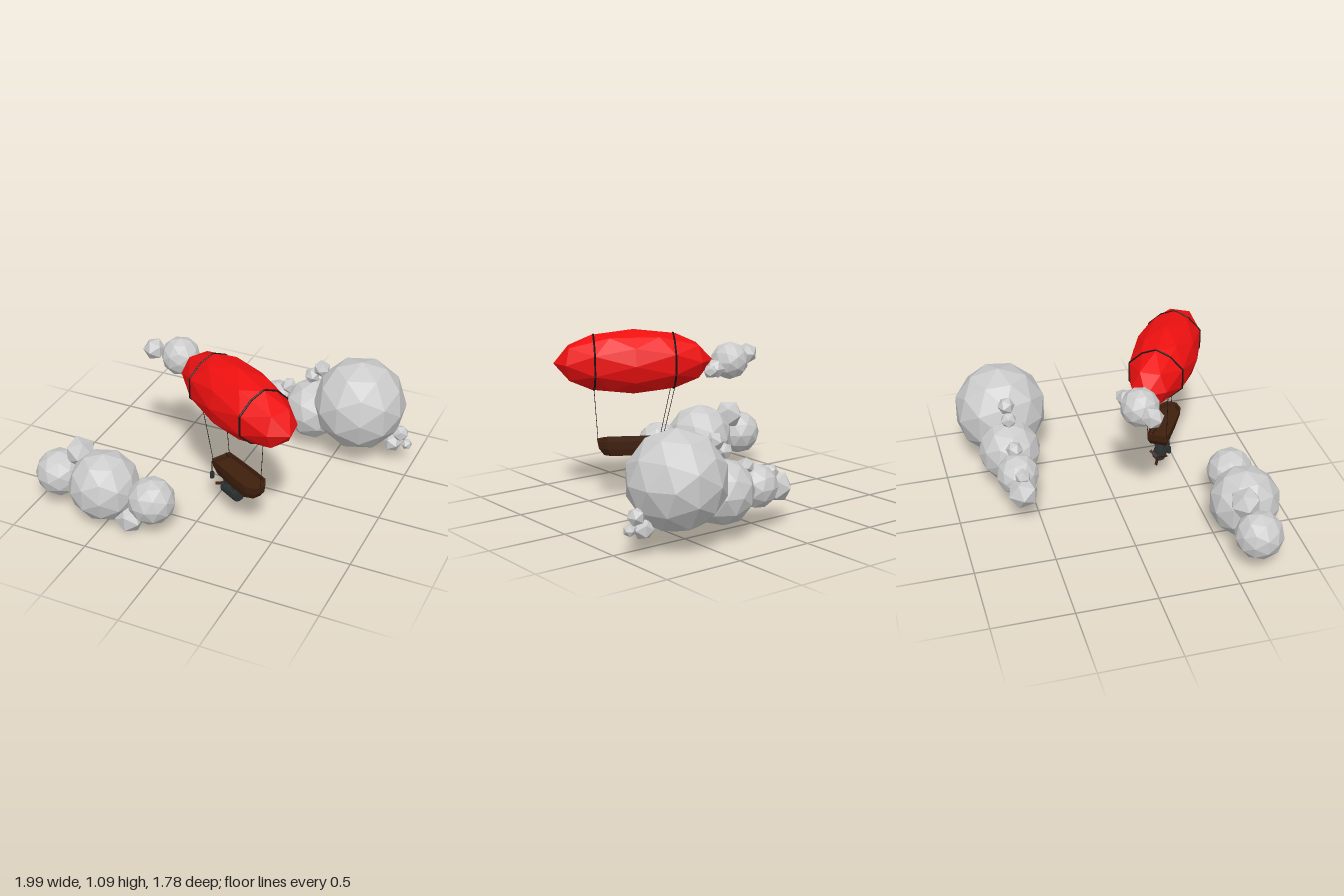
import * as THREE from 'three';

const material = (color, double) => new THREE.MeshStandardMaterial({
  color, flatShading: true, side: double ? THREE.DoubleSide : THREE.FrontSide });
const grey = material(0xcccccc);
const red = material(0xee1010);
const black = material(0x1a1412);
const iron = material(0x2b3030);
const wood = material(0x40200e, true);

function add(parent, name, geometry, mat, x = 0, y = 0, z = 0) {
  const mesh = new THREE.Mesh(geometry, mat);
  mesh.name = name;
  mesh.position.set(x, y, z);
  parent.add(mesh);
  return mesh;
}

// A straight round bar between two points
function bar(parent, name, a, b, radius, mat, sides = 5) {
  const dir = b.clone().sub(a);
  const mesh = add(parent, name, new THREE.CylinderGeometry(radius, radius, dir.length(), sides), mat);
  mesh.position.copy(a).add(b).multiplyScalar(0.5);
  mesh.quaternion.setFromUnitVectors(new THREE.Vector3(0, 1, 0), dir.normalize());
  return mesh;
}
const V = (x, y, z) => new THREE.Vector3(x, y, z);

// Each cloud is a cluster of faceted balls: x, y, z, radius
const clouds = {
  largeCloud: [
    [0.635, 0.41, -0.605, 0.3], [0.32, 0.29, -0.61, 0.2], [0.06, 0.28, -0.61, 0.135],
    [-0.1, 0.25, -0.61, 0.1], [-0.06, 0.34, -0.6, 0.053], [0.14, 0.41, -0.61, 0.055],
    [0.3, 0.53, -0.61, 0.052], [0.365, 0.595, -0.61, 0.056], [0.87, 0.17, -0.61, 0.063],
    [0.92, 0.25, -0.61, 0.055], [0.965, 0.18, -0.61, 0.037]],
  lowCloud: [
    [-0.53, 0.25, 0.68, 0.222], [-0.855, 0.24, 0.66, 0.15], [-0.2, 0.245, 0.7, 0.148],
    [-0.73, 0.39, 0.61, 0.1], [-0.335, 0.092, 0.73, 0.092]],
  highCloud: [
    [-0.3, 0.89, 0.075, 0.12], [-0.465, 0.915, 0.105, 0.07],
    [-0.15, 0.86, 0.035, 0.062], [-0.1, 0.85, 0.02, 0.045]],
};

// Envelope: stretched faceted ball with bands following its faces
function addEnvelope(ship) {
  const geo = new THREE.IcosahedronGeometry(1, 1).scale(0.5, 0.205, 0.205).translate(0, 0.897, 0);
  add(ship, 'envelope', geo, red);
  const pos = geo.attributes.position;
  for (const cut of [-0.25, 0.25]) {
    const band = new THREE.Group();
    band.name = cut < 0 ? 'rearBand' : 'frontBand';
    for (let i = 0; i < pos.count; i += 3) {
      const hits = [];
      for (let k = 0; k < 3; k++) {
        const a = new THREE.Vector3().fromBufferAttribute(pos, i + k);
        const b = new THREE.Vector3().fromBufferAttribute(pos, i + (k + 1) % 3);
        if ((a.x < cut) !== (b.x < cut)) hits.push(a.lerp(b, (cut - a.x) / (b.x - a.x)));
      }
      if (hits.length === 2) bar(band, 'bandSegment', hits[0], hits[1], 0.0065, black, 6);
    }
    ship.add(band);
  }
}

// Boat hull lofted from scaled copies of one outline, with a sunken deck
function hullGeometry() {
  const side = [[-0.206, 0.065], [-0.08, 0.071], [0.06, 0.074], [0.15, 0.073], [0.205, 0.032]];
  const outline = [...side, ...side.map(([x, z]) => [x, -z]).reverse()];
  const rings = [[0, 0.305], [0.8, 0.305], [0.96, 0.35], [1, 0.4], [0.92, 0.4], [0.9, 0.37], [0, 0.37]];
  const n = outline.length, verts = [], index = [];
  rings.forEach(([s, y]) => outline.forEach(([x, z]) => verts.push(0.03 + x * s, y, z * s)));
  for (let r = 0; r < rings.length - 1; r++) {
    for (let j = 0; j < n; j++) {
      const a = r * n + j, b = r * n + (j + 1) % n;
      index.push(a, b, b + n, a, b + n, a + n);
    }
  }
  const geo = new THREE.BufferGeometry();
  geo.setAttribute('position', new THREE.Float32BufferAttribute(verts, 3));
  geo.setIndex(index);
  geo.computeVertexNormals();
  return geo;
}

// Ribbed engine slung under the hull on V struts, with a three-bladed propeller
function addEngine(ship) {
  const y = 0.213, cx = -0.052;
  const drum = (name, r, len, x) =>
    add(ship, name, new THREE.CylinderGeometry(r, r, len, 12).rotateZ(Math.PI / 2), iron, x, y, 0);
  drum('engineCore', 0.037, 0.15, cx);
  for (let i = 0; i < 5; i++) drum('engineRib', 0.044, 0.02, cx - 0.058 + i * 0.029);
  for (const x of [-0.09, -0.015]) {
    for (const s of [-1, 1]) {
      bar(ship, 'engineStrut', V(x, y + 0.03, s * 0.018), V(x, 0.31, s * 0.045), 0.007, iron);
      bar(ship, 'engineStrut', V(x, y + 0.03, s * 0.018), V(x + 0.03, 0.31, s * 0.02), 0.005, iron);
    }
  }
  drum('propellerShaft', 0.01, 0.03, -0.136);
  const propeller = new THREE.Group();
  propeller.name = 'propeller';
  propeller.position.set(-0.145, y, 0);
  for (let i = 0; i < 3; i++) {
    const arm = new THREE.Group();
    arm.rotation.x = THREE.MathUtils.degToRad(-50 + i * 120);
    const blade = add(arm, 'propellerBlade', new THREE.BoxGeometry(0.005, 0.062, 0.018), wood, 0, 0.034, 0);
    blade.rotation.y = 0.5;
    propeller.add(arm);
  }
  ship.add(propeller);
}

export function createModel() {
  const model = new THREE.Group();
  model.name = 'airshipAmongClouds';

  for (const [name, balls] of Object.entries(clouds)) {
    const cloud = new THREE.Group();
    cloud.name = name;
    balls.forEach(([x, y, z, r], i) => {
      const puff = add(cloud, 'cloudPuff', new THREE.IcosahedronGeometry(r, r > 0.1 ? 1 : 0), grey, x, y, z);
      puff.rotation.y = 0.35 + i * 0.7;
    });
    model.add(cloud);
  }

  // Airship, built along local x with the bow at +x
  const ship = new THREE.Group();
  ship.name = 'airship';
  ship.position.set(0.2225, 0, 0.3875);
  ship.rotation.y = -Math.PI / 6;
  model.add(ship);
  addEnvelope(ship);
  add(ship, 'gondola', hullGeometry(), wood);
  addEngine(ship);

  // Ropes from the bands to the gondola
  bar(ship, 'rearRope', V(-0.25, 0.74, 0.08), V(-0.172, 0.4, 0.06), 0.002, black);
  bar(ship, 'rearRope', V(-0.25, 0.74, -0.08), V(-0.172, 0.4, -0.06), 0.002, black);
  bar(ship, 'frontRope', V(0.25, 0.73, 0), V(0.23, 0.4, 0), 0.002, black);

  // Lantern hanging beside the stern
  bar(ship, 'lanternCord', V(-0.16, 0.395, 0.076), V(-0.16, 0.3, 0.076), 0.0025, black);
  add(ship, 'lantern', new THREE.CylinderGeometry(0.014, 0.014, 0.04, 8), iron, -0.16, 0.295, 0.076);

  // Tiller at the stern
  bar(ship, 'tillerPost', V(-0.165, 0.37, -0.03), V(-0.165, 0.412, -0.03), 0.004, black);
  bar(ship, 'tillerHandle', V(-0.165, 0.41, -0.03), V(-0.12, 0.41, -0.02), 0.004, black);
  return model;
}
